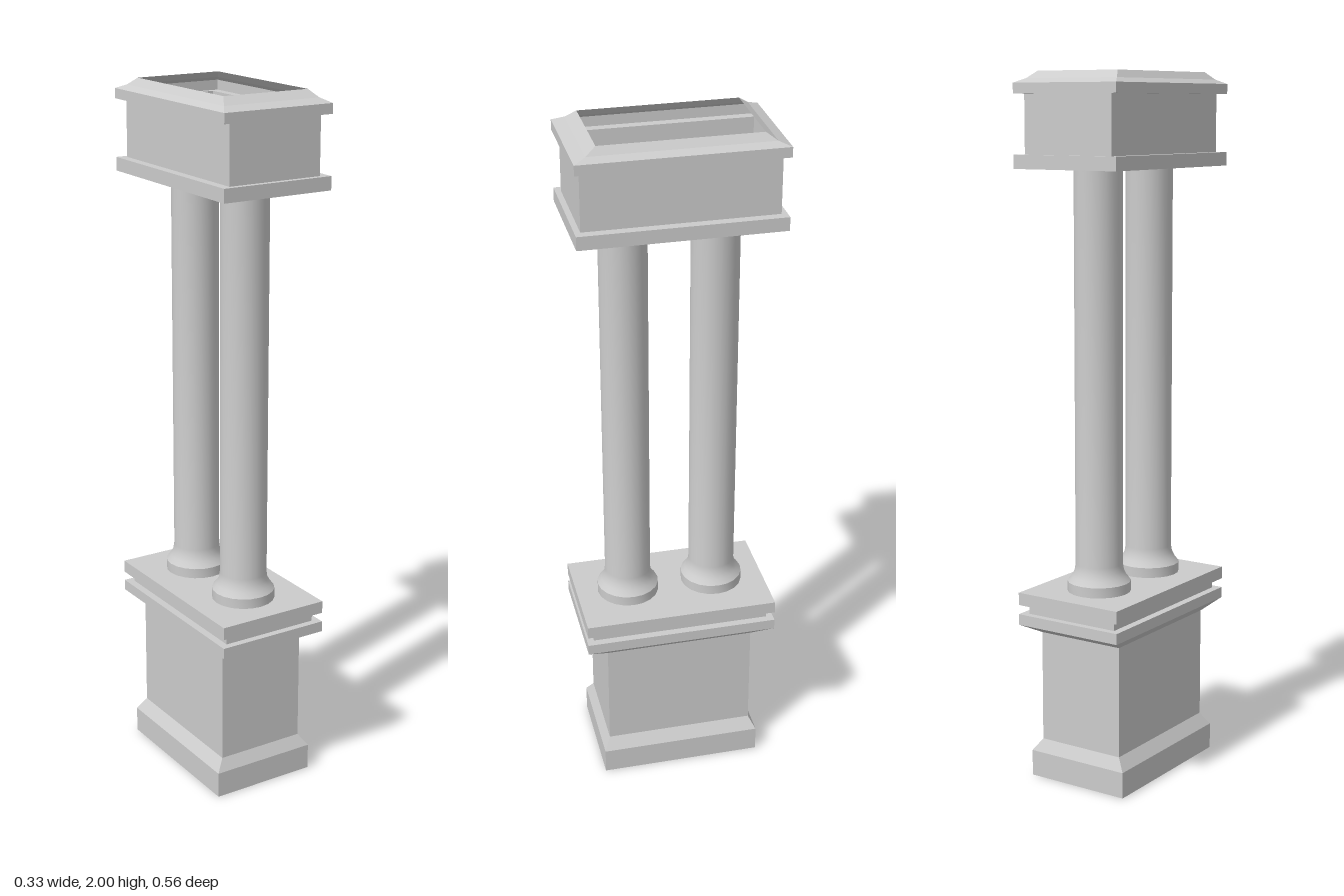
import * as THREE from 'three';
import { toCreasedNormals } from 'three/addons/utils/BufferGeometryUtils.js';

const material = new THREE.MeshStandardMaterial({ color: 0xcccccc });
const shellMaterial = new THREE.MeshStandardMaterial({ color: 0xcccccc, side: THREE.DoubleSide });

// Stacks rectangles [halfX, halfZ, y] into a flat-faced moulding, with a floor and an optional lid
function rectLoft(rings, closedTop) {
  const loops = rings.map(([x, z, y]) => [[x, y, z], [x, y, -z], [-x, y, -z], [-x, y, z]]);
  const positions = [];
  const quad = (a, b, c, d) => positions.push(...a, ...b, ...c, ...a, ...c, ...d);
  for (let r = 0; r < loops.length - 1; r++) {
    for (let i = 0; i < 4; i++) {
      const j = (i + 1) % 4;
      quad(loops[r][i], loops[r][j], loops[r + 1][j], loops[r + 1][i]);
    }
  }
  const [a, b, c, d] = loops[0];
  quad(d, c, b, a);
  if (closedTop) quad(...loops[loops.length - 1]);
  const geometry = new THREE.BufferGeometry();
  geometry.setAttribute('position', new THREE.Float32BufferAttribute(positions, 3));
  geometry.computeVertexNormals();
  return geometry;
}

function addPart(group, name, geometry, mat = material) {
  const mesh = new THREE.Mesh(geometry, mat);
  mesh.name = name;
  group.add(mesh);
  return mesh;
}

export function createModel() {
  const model = new THREE.Group();
  model.name = 'twinColumnPillar';

  // Pedestal: plinth, shaft, flared cornice and two slabs with a groove between
  addPart(model, 'pedestal', rectLoft([
    [0.157, 0.236, 0], [0.157, 0.236, 0.075], [0.132, 0.217, 0.11],
    [0.132, 0.217, 0.43], [0.167, 0.28, 0.462], [0.167, 0.28, 0.493],
    [0.145, 0.26, 0.493], [0.145, 0.26, 0.52],
    [0.167, 0.28, 0.52], [0.167, 0.28, 0.556],
  ], true));

  // Pair of round columns with flared feet
  const profile = [
    [0.09, 0.556], [0.09, 0.585], [0.078, 0.6], [0.07, 0.616], [0.067, 0.635], [0.067, 1.74],
  ].map(([r, y]) => new THREE.Vector2(r, y));
  const columnGeometry = toCreasedNormals(new THREE.LatheGeometry(profile, 20), 0.6);
  for (const [name, z] of [['frontColumn', 0.127], ['backColumn', -0.127]]) {
    addPart(model, name, columnGeometry).position.set(-0.004, 0, z);
  }

  // Hollow capital: lower band, block, upper band and a sloped rim around the open top
  addPart(model, 'capital', rectLoft([
    [0.167, 0.28, 1.74], [0.167, 0.28, 1.778], [0.141, 0.264, 1.778],
    [0.141, 0.264, 1.94], [0.167, 0.28, 1.94], [0.167, 0.28, 1.968],
    [0.147, 0.247, 1.98], [0.13, 0.218, 2],
  ], false), shellMaterial);

  return model;
}
